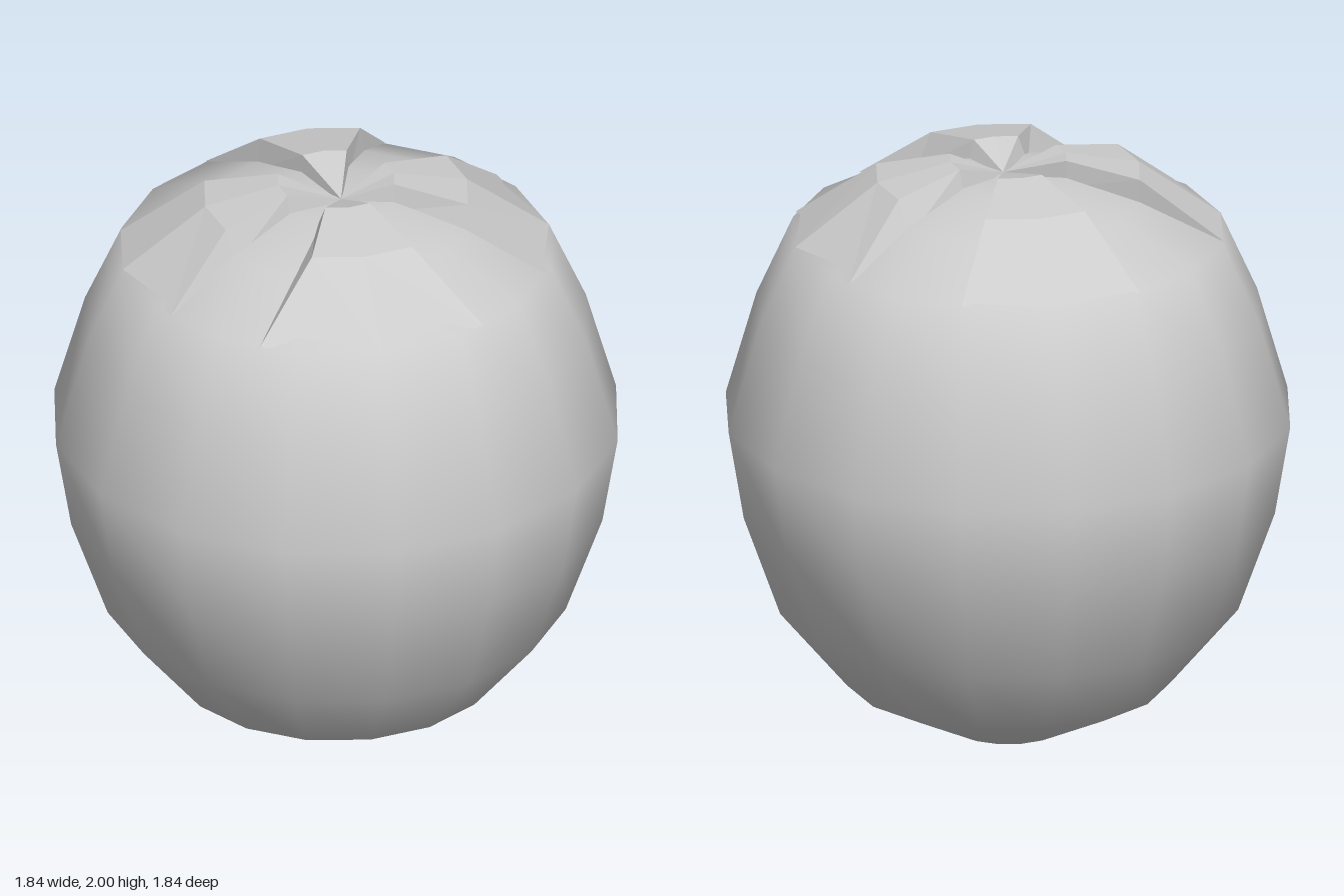
import * as THREE from 'three';

const rad = THREE.MathUtils.degToRad;
const polar = (deg, r, y) => [r * Math.sin(rad(deg)), y, r * Math.cos(rad(deg))];

// One raised sepal: a fan of rings around the hub, with side walls sinking into the fruit.
function sepalGeometry(start, tipA, tipB) {
  const hub = [0.02, 1.94, 0.02];
  const ring = (r, yTop, yFoot) => [
    polar(tipA, r, yFoot),
    polar(start, r, yTop),
    polar(start + 22.5, r, yTop),
    polar(start + 45, r, yTop),
    polar(tipB, r, yFoot),
  ];
  const a = polar(tipA, 0.7, 1.75);
  const b = polar(tipB, 0.7, 1.75);
  const rows = [
    Array(5).fill(hub),
    ring(0.19, 2.0, 1.91),
    ring(0.43, 1.95, 1.84),
    [a, a, polar(start + 22.5, 0.7, 1.75), b, b],
  ];
  const positions = [];
  const same = (p, q) => p.every((v, i) => v === q[i]);
  const triangle = (p, q, r) => {
    if (!same(p, q) && !same(q, r) && !same(r, p)) positions.push(...p, ...q, ...r);
  };
  for (let i = 0; i < 3; i++) {
    for (let j = 0; j < 4; j++) {
      const p = rows[i][j], q = rows[i + 1][j], r = rows[i + 1][j + 1], s = rows[i][j + 1];
      triangle(p, q, r);
      triangle(p, r, s);
    }
  }
  const geometry = new THREE.BufferGeometry();
  geometry.setAttribute('position', new THREE.Float32BufferAttribute(positions, 3));
  geometry.computeVertexNormals();
  return geometry;
}

export function createModel() {
  const group = new THREE.Group();
  group.name = 'fruit';

  // Smooth sixteen-sided body, pointed at the base and slightly dished on top
  const profile = [
    [0, 0], [0.19, 0.05], [0.53, 0.225], [0.75, 0.49], [0.87, 0.83], [0.92, 1.13],
    [0.82, 1.48], [0.7, 1.75], [0.43, 1.87], [0.19, 1.94], [0, 1.93],
  ].map(([r, y]) => new THREE.Vector2(r, y));
  const body = new THREE.Mesh(
    new THREE.LatheGeometry(profile, 16),
    new THREE.MeshStandardMaterial({ color: 0xcccccc })
  );
  body.name = 'body';
  group.add(body);

  // Four sepals around the crown: start angle and the angles of the two tips
  const sepalMaterial = new THREE.MeshStandardMaterial({
    color: 0xcccccc, flatShading: true, side: THREE.DoubleSide,
  });
  const sepals = [[0, -10, 53], [90, 86, 143], [180, 177.5, 227], [270, 271.5, 321]];
  sepals.forEach(([start, tipA, tipB], i) => {
    const sepal = new THREE.Mesh(sepalGeometry(start, tipA, tipB), sepalMaterial);
    sepal.name = `sepal${i + 1}`;
    group.add(sepal);
  });

  return group;
}
